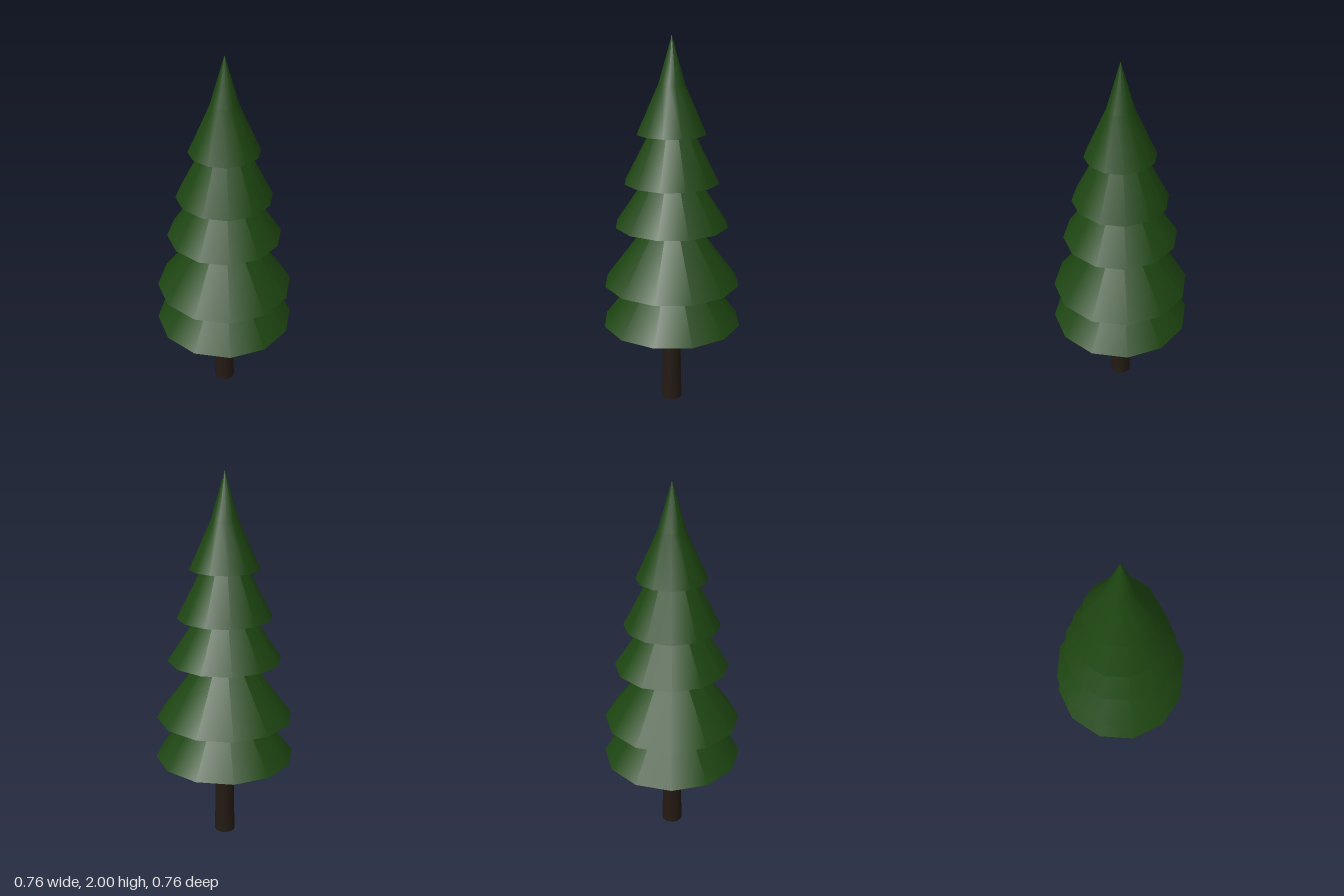
import * as THREE from 'three';
import { mergeGeometries } from 'three/addons/utils/BufferGeometryUtils.js';

const SIDES = 12;

// Smooth turned surface from a bottom-to-top profile of [radius, y], closed by a flat underside
function turned(name, profile, material) {
  const points = profile.map(([r, y]) => new THREE.Vector2(r, y));
  const side = new THREE.LatheGeometry(points, SIDES);
  const underside = new THREE.CircleGeometry(profile[0][0], SIDES)
    .rotateX(Math.PI / 2)
    .translate(0, profile[0][1], 0);
  const mesh = new THREE.Mesh(mergeGeometries([side, underside]), material);
  mesh.name = name;
  return mesh;
}

export function createModel() {
  const tree = new THREE.Group();
  tree.name = 'pineTree';
  const bark = new THREE.MeshStandardMaterial({ color: 0x241a13 });
  const needles = new THREE.MeshStandardMaterial({ color: 0x1d4511 });

  // Trunk, flared slightly at the foot
  tree.add(turned('trunk', [[0.058, 0], [0.054, 0.13], [0.049, 0.5]], bark));

  // Branch tiers from the lowest up: rim radius, rim height, apex height
  const tiers = [
    [0.378, 0.475, 0.97],
    [0.368, 0.705, 1.195],
    [0.304, 1.027, 1.485],
    [0.252, 1.257, 1.745],
  ];
  tiers.forEach(([r, y, apex], i) => {
    tree.add(turned(`branchTier${i + 1}`, [[r, y], [0, apex]], needles));
  });

  // Crown, steepening towards the tip
  tree.add(turned('crown', [[0.183, 1.51], [0.07, 1.76], [0, 2]], needles));

  return tree;
}
